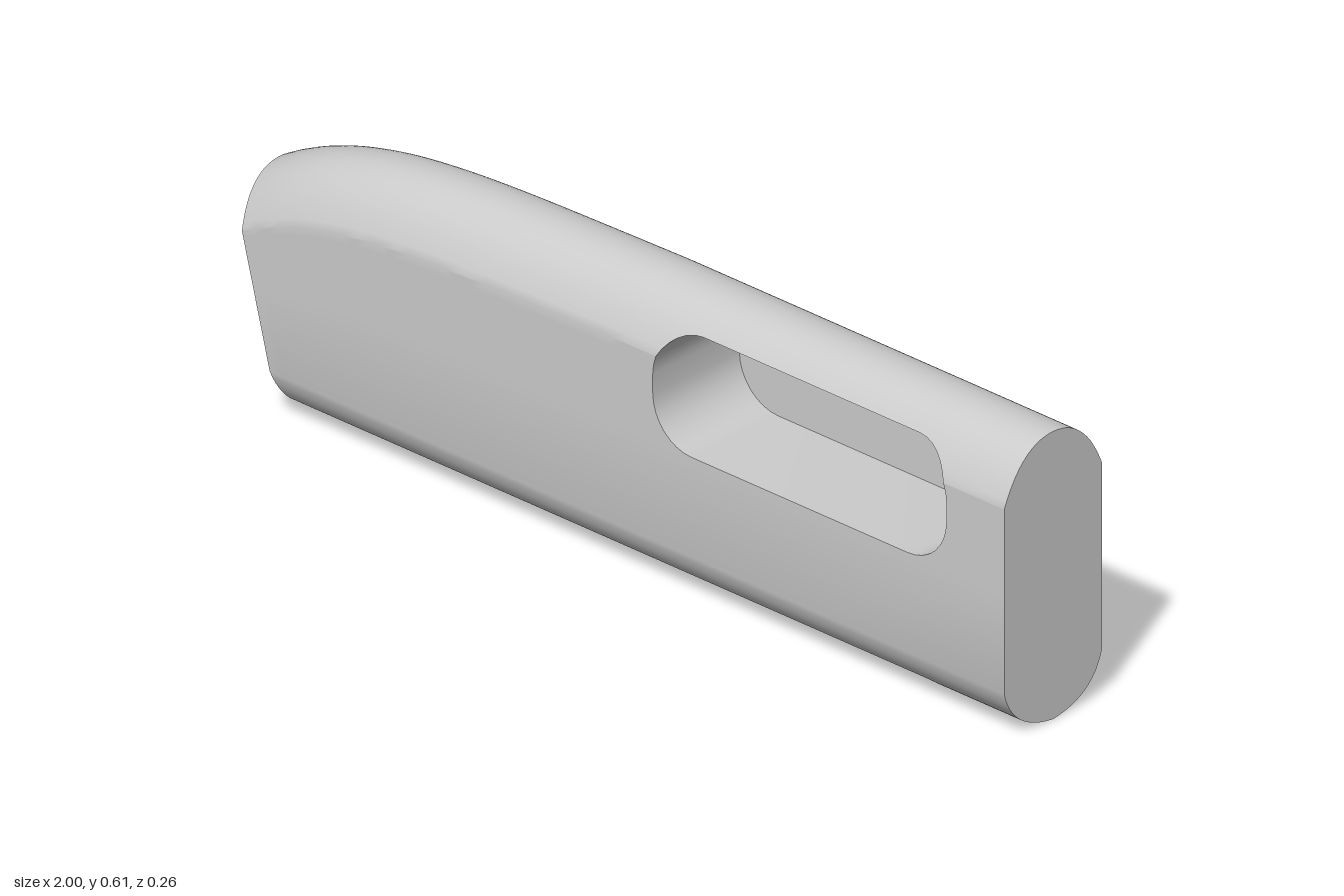
import * as THREE from 'three';
import { mergeGeometries, toCreasedNormals } from 'three/addons/utils/BufferGeometryUtils.js';

const SPLIT = 0.08;              // front wall of the lower cavity
const ROOF = 0.28;               // ceiling of the lower cavity
const WALL = 0.03;               // shell thickness behind the side window
const lerp = THREE.MathUtils.lerp;
const v = (x, y, z) => new THREE.Vector3(x, y, z);

// Lofts a surface through rows of points
function loft(rows) {
  const pos = [], n = rows[0].length;
  for (let r = 0; r + 1 < rows.length; r++) {
    for (let c = 0; c + 1 < n; c++) {
      const a = rows[r][c], b = rows[r][c + 1], d = rows[r + 1][c], e = rows[r + 1][c + 1];
      for (const p of [a, b, e, a, e, d]) pos.push(p.x, p.y, p.z);
    }
  }
  const g = new THREE.BufferGeometry();
  g.setAttribute('position', new THREE.Float32BufferAttribute(pos, 3));
  return g;
}

// Flat fan closing a convex loop
function fan(loop) {
  const centre = loop.reduce((s, p) => s.add(p), v(0, 0, 0)).divideScalar(loop.length);
  return loft([loop.map(() => centre), loop]);
}

// Lower edge of the cross-section
function bottomPoint(t) {
  return { z: 0.22 * t * (1 - t) + 0.132 * t * t, y: 0.024 * t * (1 - t) + 0.1 * t * t };
}
const RIM = bottomPoint(0.56);   // edge of the lower cavity
const cavityEnd = z => 0.755 + Math.sqrt(Math.max(0, RIM.z ** 2 - z * z));

// Half width of the cross-section above the bottom curve
function halfWidth(y) {
  if (y <= 0.49) return 0.132;
  const s = Math.sqrt(Math.max(0, 1 - (y - 0.49) / 0.115));
  return 0.132 * s * s + 0.17 * s * (1 - s);
}

// Side window: x range at a height
function windowRange(y) {
  const dy = Math.max(0, Math.abs(y - 0.43) - 0.02);
  const inset = 0.1 - Math.sqrt(Math.max(0, 0.01 - dy * dy));
  return [0.09 + inset, 0.85 - inset];
}
const windowYs = [0.49];
for (let i = 0; i <= 8; i++) {
  const d = 0.02 + 0.1 * Math.sin(i / 8 * Math.PI / 2);
  windowYs.push(0.43 - d, 0.43 + d);
}
windowYs.sort((a, b) => a - b);

// Nose: the top falls away and the end is cut on a slant
function nosePoint(x, y, z) {
  const t = Math.max(0, -x);
  const drop = (0.02 * t + 0.115 * t ** 5) * THREE.MathUtils.clamp((y - 0.1) / 0.39, 0, 1);
  const low = Math.abs(z) < RIM.z && y < RIM.y ? RIM.y - (RIM.y - y) * 0.5 : y;
  return v(x, low - drop, z);
}
function noseEnd(y, z) {
  let x = -0.95;
  for (let i = 0; i < 20; i++) x = -1 + (0.47 - nosePoint(x, y, z).y) * 0.267;
  return x;
}

// Rows up one side, each with the gap an opening leaves in it
function sideRows(withWindow) {
  const rows = [];
  const add = (z, y, hole) => rows.push({ z, y, hole: hole || [0.5, 0.5] });
  for (let i = 0; i <= 10; i++) {
    const p = bottomPoint(0.56 * i / 10);
    add(p.z, p.y, [SPLIT, cavityEnd(p.z)]);
  }
  for (let i = 0; i <= 6; i++) {
    const p = bottomPoint(lerp(0.56, 1, i / 6));
    add(p.z, p.y);
  }
  add(0.132, 0.31);
  for (const y of windowYs) add(halfWidth(y), y, withWindow && windowRange(y));
  for (let i = 0; i <= 10; i++) {
    const y = 0.605 - 0.055 * (1 - i / 10) ** 2;
    add(halfWidth(y), y);
  }
  return rows;
}

export function createModel() {
  const group = new THREE.Group();
  const grey = new THREE.MeshStandardMaterial({ color: 0xcccccc });
  const inside = new THREE.MeshStandardMaterial({ color: 0xcccccc, side: THREE.DoubleSide });
  const addMesh = (name, parts, material) => {
    const mesh = new THREE.Mesh(toCreasedNormals(mergeGeometries(parts), 0.5), material);
    mesh.name = name;
    group.add(mesh);
  };

  // Outer shell, strip by strip around the cross-section
  const back = sideRows(false).reverse().map(r => ({ ...r, z: -r.z }));
  const rows = [...sideRows(true), ...back];
  const noseRow = ({ y, z }) => {
    const start = noseEnd(y, z);
    return Array.from({ length: 33 }, (_, i) => nosePoint(lerp(start, SPLIT, i / 32), y, z));
  };
  const shell = [];
  for (let i = 0; i + 1 < rows.length; i++) {
    const pair = [rows[i], rows[i + 1]];
    if (Math.hypot(pair[0].y - pair[1].y, pair[0].z - pair[1].z) < 1e-6) continue;
    shell.push(loft(pair.map(noseRow)));
    shell.push(loft(pair.map(r => [v(SPLIT, r.y, r.z), v(r.hole[0], r.y, r.z)])));
    shell.push(loft(pair.map(r => [v(r.hole[1], r.y, r.z), v(1, r.y, r.z)])));
  }
  addMesh('outerShell', shell, grey);

  // End faces
  const noseLoop = rows.map(r => nosePoint(noseEnd(r.y, r.z), r.y, r.z));
  addMesh('noseFace', [fan([...noseLoop, noseLoop[0]])], inside);
  const rearLoop = rows.map(r => v(1, r.y, r.z));
  addMesh('rearFace', [fan([...rearLoop, rearLoop[0]])], inside);

  // Side window: tunnel walls and the inner face of the far side
  const edge = side => windowYs.map(y => [windowRange(y)[side], y]);
  const outline = [...edge(0), ...edge(1).reverse()];
  outline.push(outline[0]);
  const innerZ = y => WALL - halfWidth(y);
  addMesh('windowWalls', [loft([
    outline.map(([x, y]) => v(x, y, halfWidth(y))),
    outline.map(([x, y]) => v(x, y, innerZ(y))),
  ])], inside);
  addMesh('windowBack', [loft(windowYs.map(y => windowRange(y).map(x => v(x, y, innerZ(y)))))], inside);

  // Lower cavity: walls, ceiling and front bulkhead
  const floor = [];
  for (let i = -10; i <= 10; i++) {
    const p = bottomPoint(0.56 * Math.abs(i) / 10);
    floor.push({ z: Math.sign(i) * p.z, y: p.y });
  }
  const first = floor[0], last = floor[floor.length - 1];
  const rim = [
    v(SPLIT, first.y, first.z),
    ...floor.map(p => v(cavityEnd(p.z), p.y, p.z)),
    v(SPLIT, last.y, last.z),
  ];
  const lift = p => v(p.x, ROOF, p.z);
  addMesh('cavityWalls', [loft([rim, rim.map(lift)])], inside);
  addMesh('cavityCeiling', [loft([
    floor.map(p => v(SPLIT, ROOF, p.z)),
    floor.map(p => v(cavityEnd(p.z), ROOF, p.z)),
  ])], inside);
  const lip = floor.map(p => nosePoint(SPLIT, p.y, p.z));
  addMesh('cavityBulkhead', [loft([lip, lip.map(lift)])], inside);

  return group;
}
